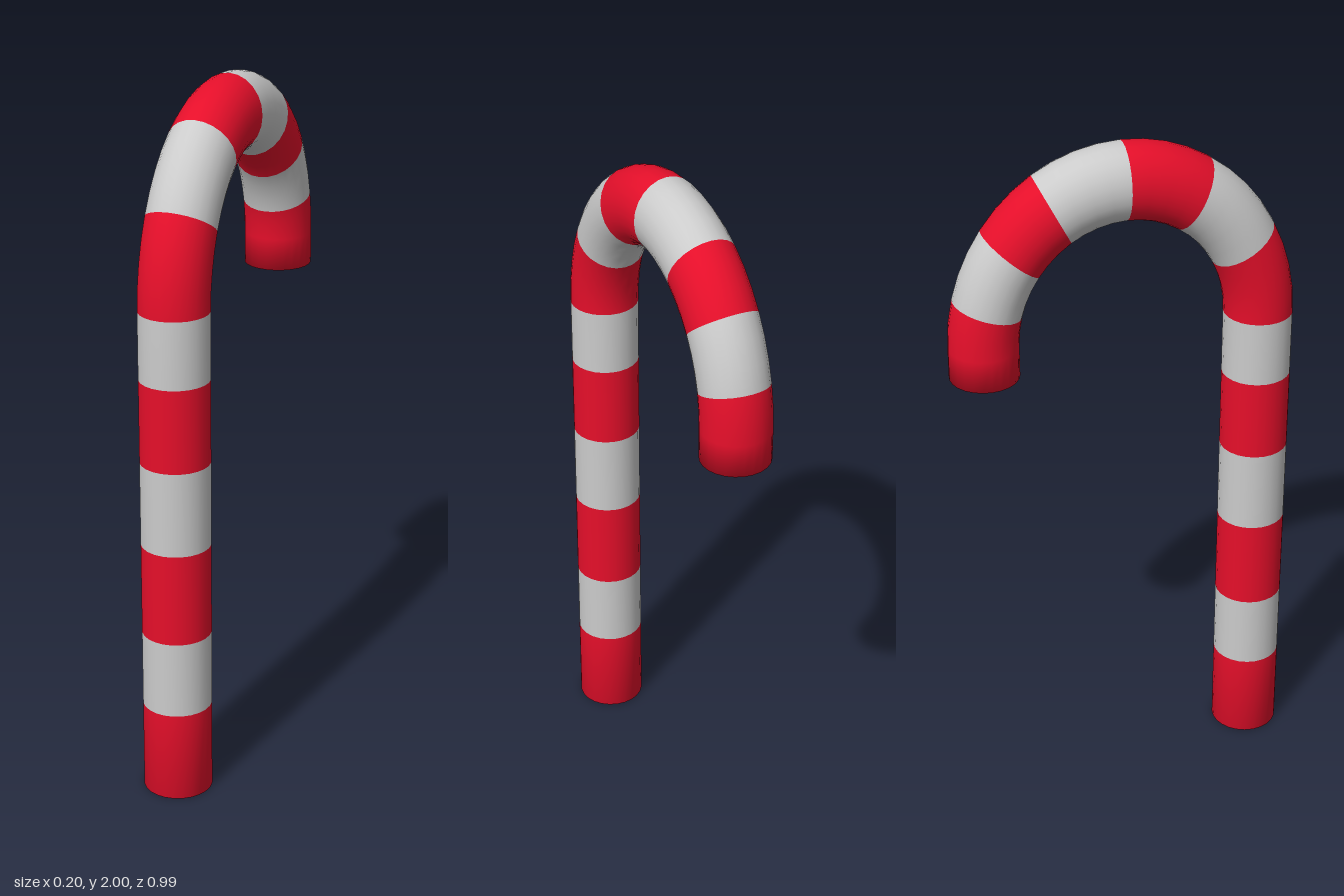
import * as THREE from 'three';

const SIDES = 24;
const RADIUS = 0.099;      // thickness of the stick
const BEND = 0.397;        // half the distance between leg and hook tip
const SPRING = 1.442;      // height at which the arch starts
const STRETCH = 1.125;     // the arch is slightly taller than a half circle
const TIP = 1.348;         // height of the hook's free end

// Stripe borders: heights on the leg, then angles around the arch
const LEG = [0, 0.267, 0.492, 0.762, 1.008, 1.249, SPRING];
const ARCH = [0, 30, 60, 90, 120, 142.5, 165, 180];
const STEP = 7.5;

// One ring of the stick; drop lowers it (or raises it) from the arch's start
function ring(angle, shift = 0, radius = RADIUS) {
  const t = THREE.MathUtils.degToRad(angle);
  const points = [];
  for (let j = 0; j < SIDES; j++) {
    const a = (j / SIDES) * Math.PI * 2;
    const R = BEND + radius * Math.sin(a);
    points.push(
      radius * Math.cos(a),
      SPRING + shift + STRETCH * R * Math.sin(t),
      R * Math.cos(t)
    );
  }
  return points;
}

// Quads between rings, skipping the flat half where a ring is a single point
function ringIndices(from, to, lastRing) {
  const index = [];
  for (let i = from; i < to; i++) {
    for (let j = 0; j < SIDES; j++) {
      const k = (j + 1) % SIDES;
      const a = i * SIDES + j, b = i * SIDES + k;
      const c = a + SIDES, d = b + SIDES;
      if (i !== 0) index.push(a, c, b);
      if (i + 1 !== lastRing) index.push(b, c, d);
      else if (i === 0) index.push(b, c, d);
    }
  }
  return index;
}

export function createModel() {
  const cane = new THREE.Group();
  cane.name = 'candyCane';

  const rings = [];
  const borders = [0];
  const endStripe = () => borders.push(rings.length - 1);

  // Leg, beginning with the centre of its closed bottom
  rings.push(ring(0, -SPRING, 0));
  LEG.forEach((y, i) => {
    rings.push(ring(0, y - SPRING));
    if (i > 0 && i < LEG.length - 1) endStripe();
  });
  endStripe();

  // Arch
  for (let angle = STEP; angle <= 180; angle += STEP) {
    rings.push(ring(angle));
    if (ARCH.includes(angle) && angle < 180) endStripe();
  }

  // Hook tip with its closed end
  rings.push(ring(180, TIP - SPRING));
  rings.push(ring(180, TIP - SPRING, 0));
  endStripe();

  // Whole stick, so that normals run smoothly across the stripe borders
  const last = rings.length - 1;
  const whole = new THREE.BufferGeometry();
  whole.setAttribute('position', new THREE.Float32BufferAttribute(rings.flat(), 3));
  whole.setIndex(ringIndices(0, last, last));
  whole.computeVertexNormals();

  const red = new THREE.MeshStandardMaterial({ color: 0xe60f2a });
  const white = new THREE.MeshStandardMaterial({ color: 0xcccccc });

  // Cut the stick into alternating stripes
  for (let s = 0; s < borders.length - 1; s++) {
    const from = borders[s], to = borders[s + 1];
    const stripe = new THREE.BufferGeometry();
    for (const key of ['position', 'normal']) {
      const part = whole.attributes[key].array.slice(from * SIDES * 3, (to + 1) * SIDES * 3);
      stripe.setAttribute(key, new THREE.BufferAttribute(part, 3));
    }
    stripe.setIndex(ringIndices(from, to, last).map((v) => v - from * SIDES));
    const isRed = s % 2 === 0;
    const mesh = new THREE.Mesh(stripe, isRed ? red : white);
    mesh.name = (isRed ? 'redStripe' : 'whiteStripe') + (Math.floor(s / 2) + 1);
    cane.add(mesh);
  }
  return cane;
}
